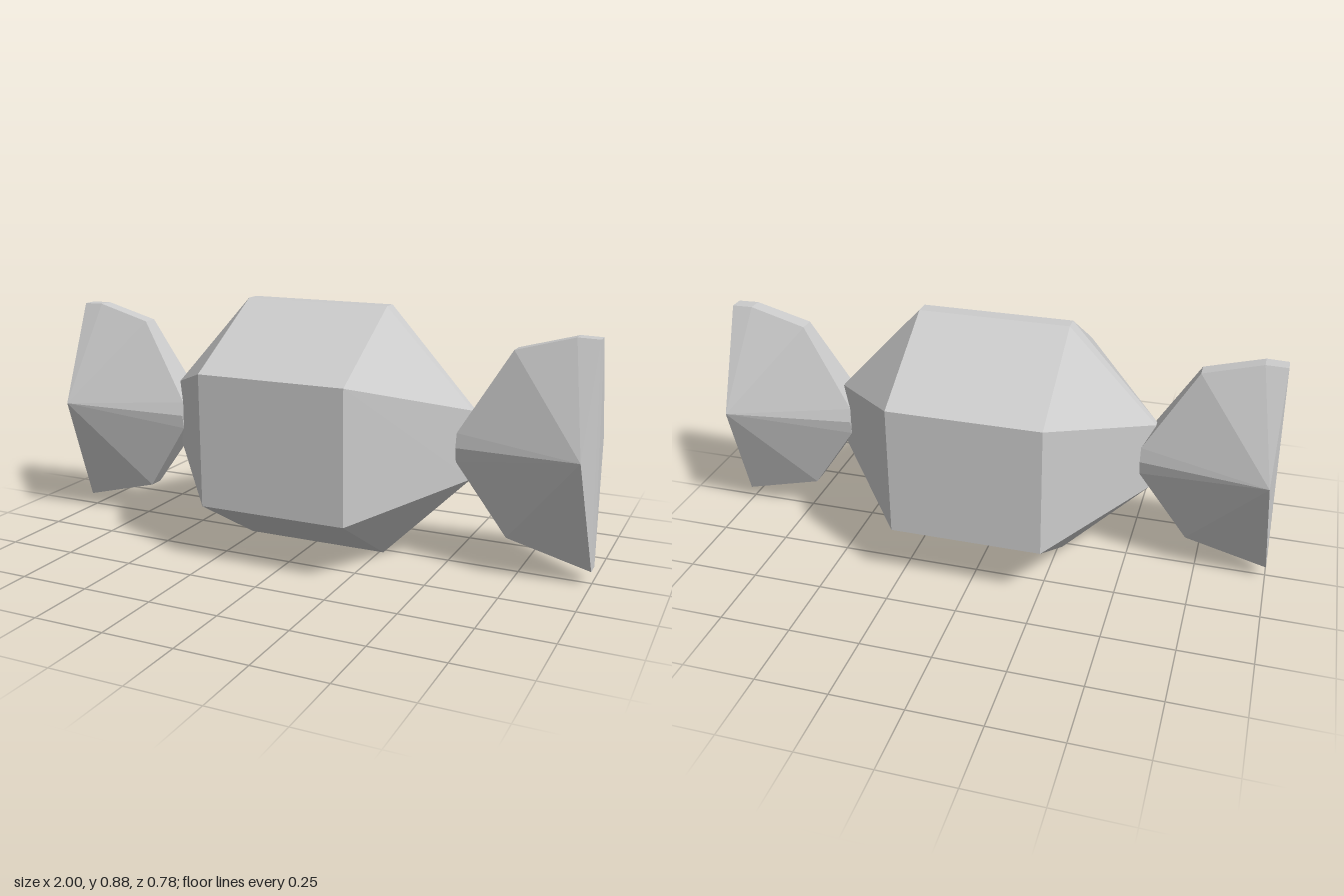
import * as THREE from 'three';
import { ConvexGeometry } from 'three/addons/geometries/ConvexGeometry.js';

const material = new THREE.MeshStandardMaterial({ color: 0xcccccc, flatShading: true });

// Faceted solid from [x, y, z] corners, each repeated at -z; side mirrors it in x.
function facetedPart(name, corners, side = 1) {
  const points = [];
  for (const [x, y, z] of corners) {
    for (const s of [1, -1]) points.push(new THREE.Vector3(x * side, y, z * s));
  }
  const mesh = new THREE.Mesh(new ConvexGeometry(points), material);
  mesh.name = name;
  return mesh;
}

export function createModel() {
  const group = new THREE.Group();
  group.name = 'wrappedCandy';

  // Six-sided body whose ends pinch to a short upright edge
  const bodyCorners = [];
  for (const side of [1, -1]) {
    const x = 0.265 * side;
    bodyCorners.push(
      [x, 0.885, 0.026], [x, 0.672, 0.39], [x, 0.208, 0.385], [x, 0, 0.026],
      [0.575 * side, 0.55, 0.012], [0.575 * side, 0.31, 0.012],
    );
  }
  group.add(facetedPart('candyBody', bodyCorners));

  // Twisted wrapper ends: narrow neck flaring to a tall diamond
  const wrapperCorners = [
    [0.535, 0.48, 0.06], [0.535, 0.43, 0.07], [0.535, 0.38, 0.06], // neck
    [0.71, 0.77, 0.028], [0.71, 0.125, 0.028],                     // shoulders
    [0.91, 0.825, 0.026], [0.985, 0.823, 0.025],                   // upper tip
    [0.975, 0.46, 0.187],                                          // side tips
    [1.0, 0.05, 0.026],                                            // lower tip
  ];
  group.add(facetedPart('leftWrapperEnd', wrapperCorners, 1));
  group.add(facetedPart('rightWrapperEnd', wrapperCorners, -1));

  return group;
}
